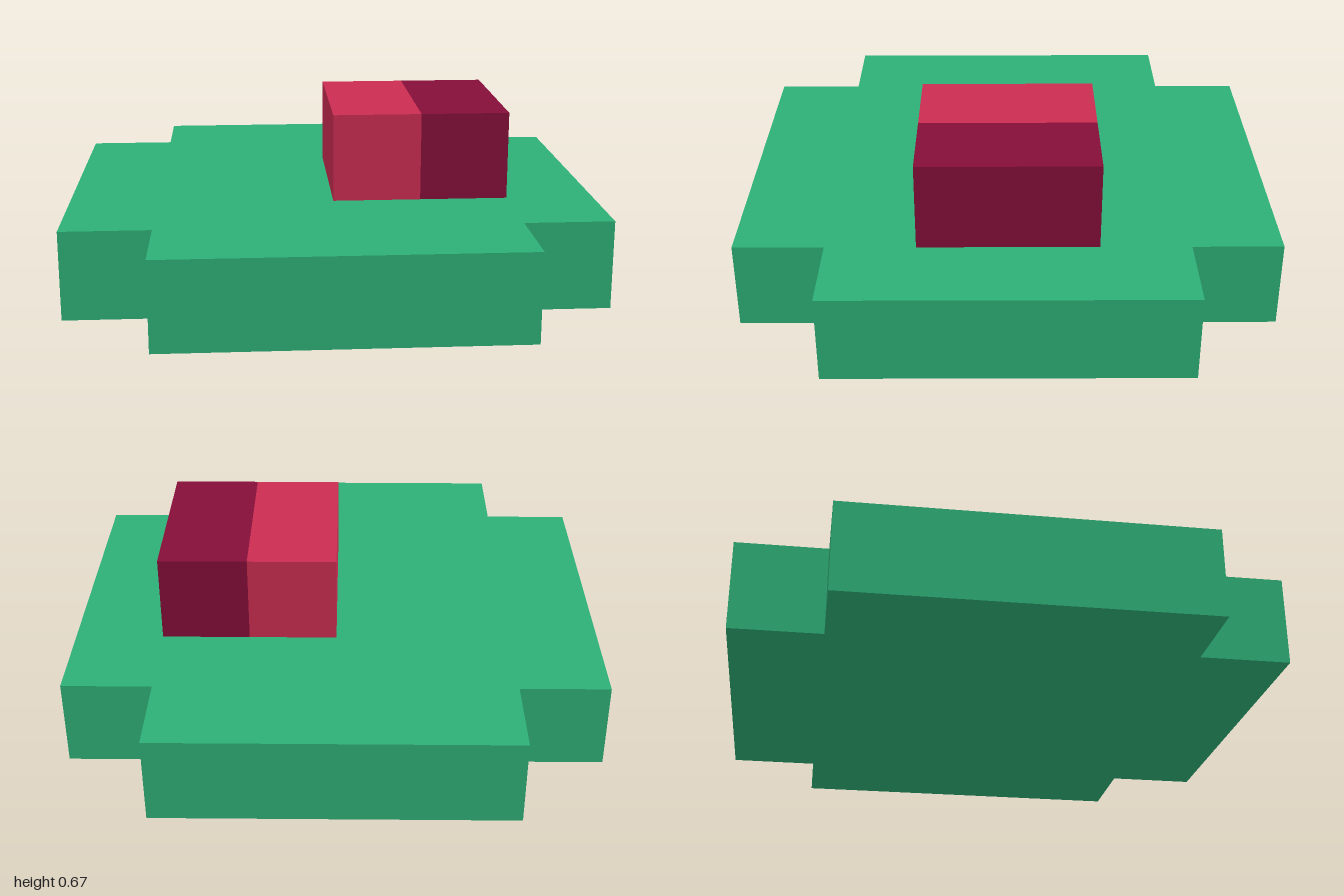
import * as THREE from 'three';

const U = 1 / 3; // grid cell

const green = new THREE.MeshStandardMaterial({ name: 'leaf green', color: 0x2eb076 });
const red = new THREE.MeshStandardMaterial({ name: 'bright red', color: 0xcb2d51 });
const darkRed = new THREE.MeshStandardMaterial({ name: 'dark crimson', color: 0x850e39 });

// Square slab with one cell notched out of every corner
function createBase() {
  const a = 2 * U, b = 3 * U;
  const outline = [
    [a, -b], [a, -a], [b, -a], [b, a], [a, a], [a, b],
    [-a, b], [-a, a], [-b, a], [-b, -a], [-a, -a], [-a, -b],
  ].map(([x, y]) => new THREE.Vector2(x, y));
  const geometry = new THREE.ExtrudeGeometry(new THREE.Shape(outline), { depth: U, bevelEnabled: false });
  geometry.rotateX(-Math.PI / 2);
  const base = new THREE.Mesh(geometry, green);
  base.name = 'base';
  return base;
}

// One half of the raised block, a cell wide and two cells deep
function createHalf(name, x, material) {
  const half = new THREE.Mesh(new THREE.BoxGeometry(U, U, 2 * U), material);
  half.name = name;
  half.position.set(x, 1.5 * U, 0);
  return half;
}

export function createModel() {
  const model = new THREE.Group();
  model.name = 'notchedSlabWithBlock';

  const block = new THREE.Group();
  block.name = 'raisedBlock';
  block.add(
    createHalf('innerHalf', 0.5 * U, red),
    createHalf('outerHalf', 1.5 * U, darkRed),
  );

  model.add(createBase(), block);
  return model;
}
